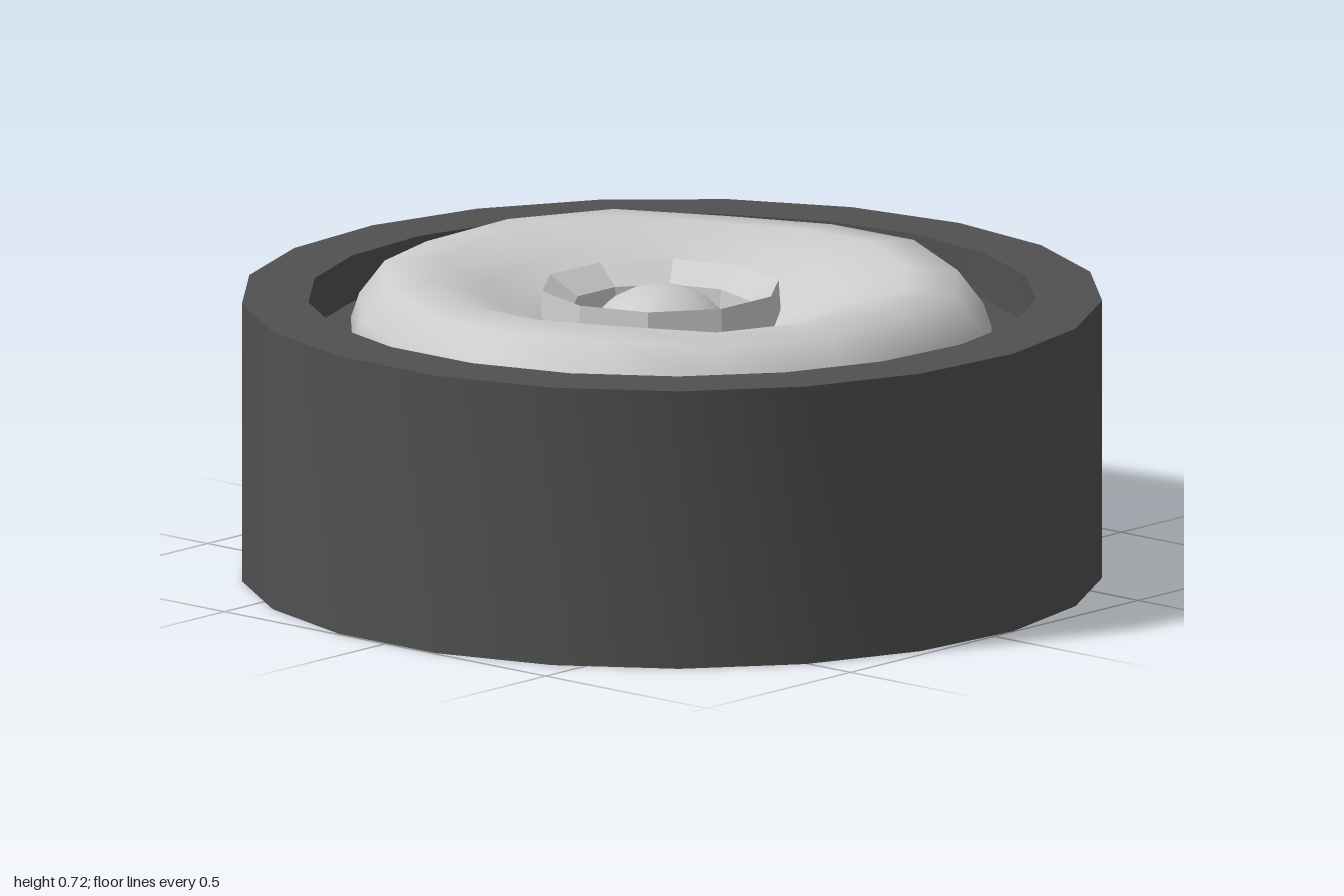
import * as THREE from 'three';
import { toCreasedNormals } from 'three/addons/utils/BufferGeometryUtils.js';

// Lathe from [radius, height] pairs; the first vertex sits `start` radians from +z
function lathe(profile, sides, start) {
  const points = profile.map(([r, y]) => new THREE.Vector2(r, y));
  return new THREE.LatheGeometry(points, sides, start, Math.PI * 2);
}

function addPart(group, name, geometry, color, x = 0, y = 0, z = 0, flatShading = false) {
  const material = new THREE.MeshStandardMaterial({ color, flatShading });
  const mesh = new THREE.Mesh(geometry, material);
  mesh.name = name;
  mesh.position.set(x, y, z);
  group.add(mesh);
}

export function createModel() {
  const group = new THREE.Group();
  group.name = 'cushionInBowl';
  const grey = 0xcccccc, dark = 0x505050;

  // Dark round housing with a shallow recess
  const housing = lathe(
    [[0, 0], [1, 0], [1, 0.66], [0.845, 0.66], [0.845, 0.55], [0, 0.55]], 21, Math.PI / 2);
  addPart(group, 'housing', toCreasedNormals(housing, 0.6), dark, -0.005);

  // Soft cushion: raised rim, dished middle, slightly tilted and uneven
  const cushion = lathe(
    [[0.72, 0.48], [0.755, 0.56], [0.735, 0.62], [0.675, 0.7], [0.56, 0.71],
      [0.43, 0.665], [0.33, 0.62], [0.25, 0.59], [0.19, 0.5]], 16, 1.71);
  const p = cushion.attributes.position;
  for (let i = 0; i < p.count; i++) {
    const x = p.getX(i), z = p.getZ(i);
    const r = Math.hypot(x, z), a = Math.atan2(z, x);
    const wave = 0.008 * Math.sin(5 * a + 0.6) * Math.min(1, r / 0.6);
    const swell = 1 + 0.008 * Math.sin(3 * a);
    p.setXYZ(i, x * swell, p.getY(i) + wave - 0.014 * z, z * swell);
  }
  addPart(group, 'cushion', toCreasedNormals(cushion, 1.2), grey, -0.01);

  // Faceted collar around the middle
  const collar = lathe(
    [[0.26, 0.54], [0.285, 0.61], [0.28, 0.68], [0.21, 0.635], [0.2, 0.54]], 10, Math.PI / 2);
  addPart(group, 'collar', collar, grey, -0.015, 0, -0.025, true);

  // Ball resting in the collar
  addPart(group, 'ball', new THREE.SphereGeometry(0.2, 14, 10), grey, -0.01, 0.48, -0.03);

  return group;
}
